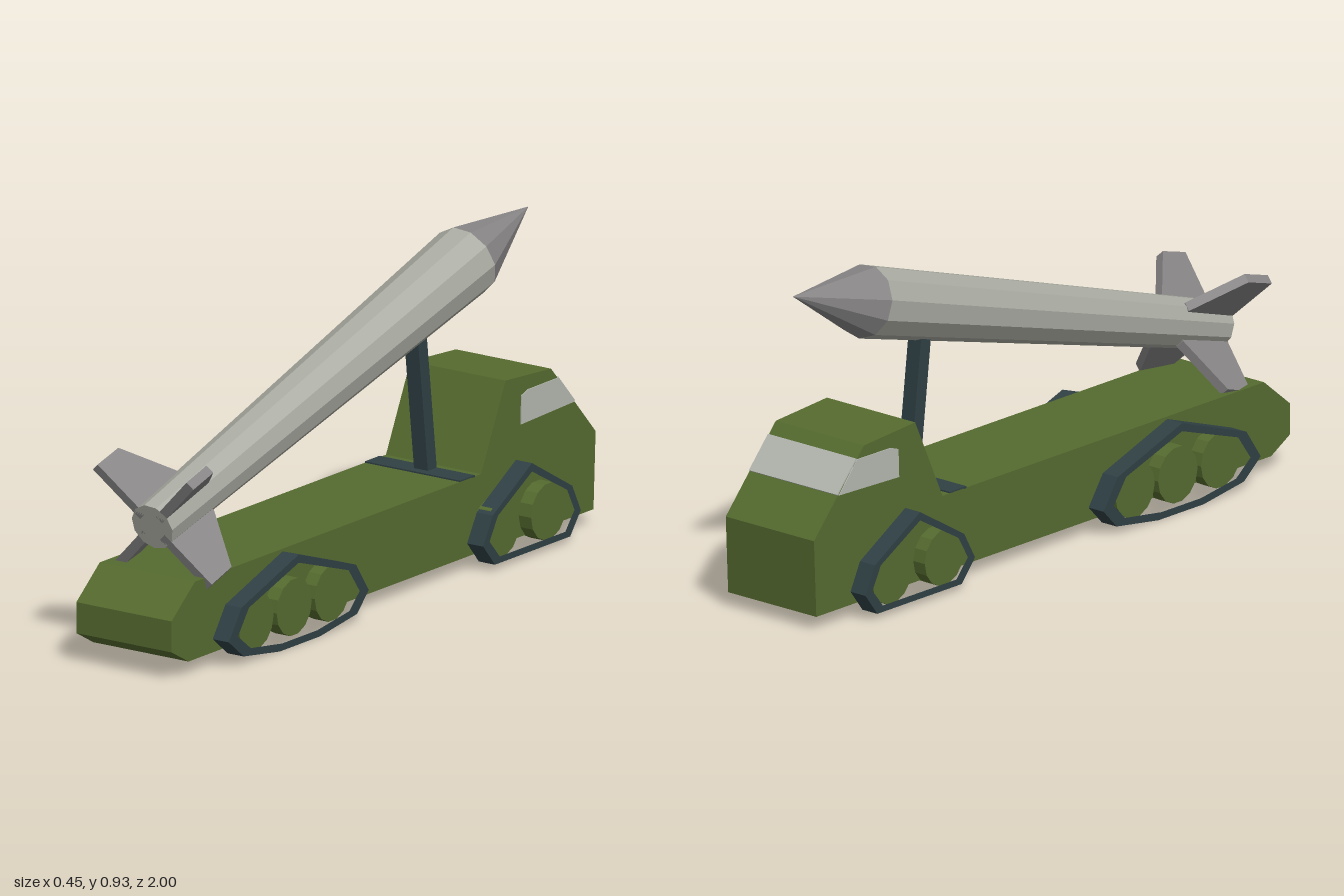
import * as THREE from 'three';

const mat = (name, color, flat = true) => {
  const m = new THREE.MeshStandardMaterial({ color, flatShading: flat });
  m.name = name;
  return m;
};

export function createModel() {
  const olive = mat('olive paint', 0x556b2f);
  const dark = mat('dark steel', 0x2f4044);
  const light = mat('light grey', 0xa9aaa1);
  const grey = mat('mid grey', 0x858384);
  const glass = mat('window glass', 0xb4b8b0);

  const root = new THREE.Group();
  root.name = 'missileTruck';

  const add = (parent, name, geometry, material) => {
    const mesh = new THREE.Mesh(geometry, material);
    mesh.name = name;
    parent.add(mesh);
    return mesh;
  };
  // Side profile of [z, y] points, extruded from x0 to x1
  const toPoints = (list) => list.map(([z, y]) => new THREE.Vector2(-z, y));
  const sideExtrude = (list, x0, x1, hole) => {
    const shape = new THREE.Shape(toPoints(list));
    if (hole) shape.holes.push(new THREE.Path(toPoints(hole)));
    const g = new THREE.ExtrudeGeometry(shape, { depth: x1 - x0, bevelEnabled: false });
    return g.rotateY(Math.PI / 2).translate(x0, 0, 0);
  };

  // Truck hull with cab
  const W = 0.165;
  add(root, 'hull', sideExtrude([
    [1, 0.18], [1, 0.09], [0.92, 0.045], [-0.99, 0.045], [-1, 0.27],
    [-0.79, 0.5], [-0.575, 0.515], [-0.46, 0.27], [0.89, 0.27],
  ], -W, W), olive);

  // Windows as thin plates
  add(root, 'windshield', sideExtrude(
    [[-0.9, 0.3795], [-0.82, 0.467], [-0.823, 0.47], [-0.903, 0.3825]], -W, W), glass);
  const pane = [[-0.645, 0.372], [-0.648, 0.455], [-0.68, 0.466], [-0.82, 0.467], [-0.897, 0.38]];
  add(root, 'sideWindowLeft', sideExtrude(pane, W, W + 0.003), glass);
  add(root, 'sideWindowRight', sideExtrude(pane, -W - 0.003, -W), glass);

  // Tracks with road wheels, mirrored on both sides
  const tracks = [
    {
      name: 'longTrack', wheels: [0.66, 0.48, 0.3], centre: [0.48, 0.125],
      loop: [[0.81, 0.085], [0.75, 0.172], [0.48, 0.264], [0.21, 0.172], [0.15, 0.085],
        [0.205, 0.028], [0.38, 0.003], [0.57, 0.003], [0.74, 0.028]],
    },
    {
      name: 'shortTrack', wheels: [-0.5, -0.72], centre: [-0.62, 0.13],
      loop: [[-0.39, 0.085], [-0.435, 0.165], [-0.62, 0.275], [-0.81, 0.165], [-0.85, 0.085],
        [-0.8, 0.02], [-0.445, 0.02]],
    },
  ];
  for (const { name, wheels, centre: [cz, cy], loop } of tracks) {
    const inner = loop.map(([z, y]) => [cz + (z - cz) * 0.87, cy + (y - cy) * 0.83]);
    for (const s of [1, -1]) {
      const group = new THREE.Group();
      group.name = name + (s > 0 ? 'Left' : 'Right');
      root.add(group);
      const [a, b] = s > 0 ? [0.168, 0.224] : [-0.224, -0.168];
      add(group, 'trackBand', sideExtrude(loop, a, b, inner), dark);
      for (const z of wheels) {
        const wheel = add(group, 'roadWheel', new THREE.CylinderGeometry(0.083, 0.083, 0.05, 14), olive);
        wheel.rotation.z = Math.PI / 2;
        wheel.position.set(s * 0.183, 0.109, z);
      }
    }
  }

  // Support strut and its base plate
  add(root, 'strutBase', new THREE.BoxGeometry(2 * W, 0.006, 0.07), dark).position.set(0, 0.271, -0.395);
  add(root, 'strut', sideExtrude(
    [[-0.388, 0.265], [-0.43, 0.265], [-0.378, 0.7], [-0.336, 0.7]], -0.014, 0.034), dark);

  // Missile: local y runs from tail to nose
  const missile = new THREE.Group();
  missile.name = 'missile';
  missile.position.set(0.014, 0.402, 0.885);
  missile.rotation.x = -1.285;
  root.add(missile);
  const length = 1.538, sides = 11, turn = 0.38;
  add(missile, 'missileBody',
    new THREE.CylinderGeometry(0.105, 0.07, length, sides, 1, false, turn), light).position.y = length / 2;
  add(missile, 'noseCone',
    new THREE.ConeGeometry(0.105, 0.31, sides, 1, false, turn), grey).position.y = length + 0.155;

  // Four diagonal tail fins
  const finShape = new THREE.Shape([[0.04, 0], [0.232, 0], [0.23, 0.1], [0.075, 0.2], [0.04, 0.2]]
    .map(([r, y]) => new THREE.Vector2(r, y)));
  const finGeometry = new THREE.ExtrudeGeometry(finShape, { depth: 0.028, bevelEnabled: false });
  finGeometry.translate(0, 0, -0.014);
  for (let i = 0; i < 4; i++) {
    add(missile, 'tailFin', finGeometry, grey).rotation.y = Math.PI / 4 + i * Math.PI / 2;
  }

  return root;
}
